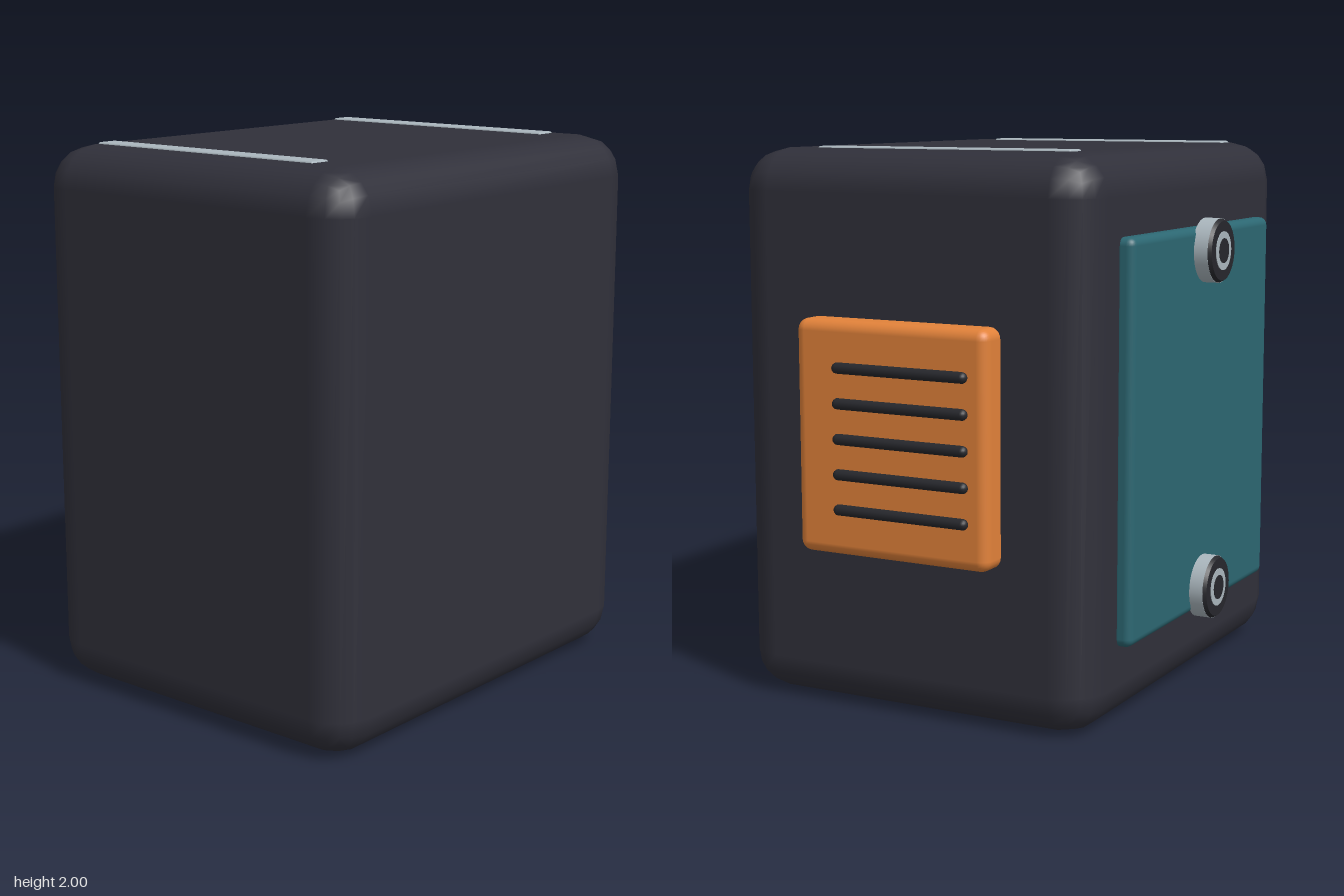
import * as THREE from 'three';
import { RoundedBoxGeometry } from 'three/addons/geometries/RoundedBoxGeometry.js';

const mat = (name, color) => {
  const m = new THREE.MeshStandardMaterial({ color });
  m.name = name;
  return m;
};

export function createModel() {
  const charcoal = mat('charcoal', 0x30303a);
  const black = mat('black', 0x26272c);
  const teal = mat('teal', 0x2c6772);
  const orange = mat('orange', 0xe2823a);
  const silver = mat('silver', 0xaab6bd);
  const group = new THREE.Group();

  const add = (name, geometry, material, x, y, z, parent = group) => {
    const mesh = new THREE.Mesh(geometry, material);
    mesh.name = name;
    mesh.position.set(x, y, z);
    parent.add(mesh);
    return mesh;
  };

  // Rounded box given by its lower and upper corners
  const block = (name, material, a, b, radius, segments) => add(
    name,
    new RoundedBoxGeometry(b[0] - a[0], b[1] - a[1], b[2] - a[2], segments, radius),
    material,
    (a[0] + b[0]) / 2, (a[1] + b[1]) / 2, (a[2] + b[2]) / 2
  );

  // Main case
  block('case', charcoal, [-0.655, 0, -0.8], [0.765, 1.994, 0.917], 0.15, 2);

  // Side door
  block('sidePanel', teal, [-0.708, 0.29, -0.565], [-0.63, 1.71, 0.68], 0.03, 3);

  // Back vent housing and its slats
  block('ventHousing', orange, [-0.328, 0.583, -0.898], [0.438, 1.413, -0.76], 0.04, 3);
  for (let i = 0; i < 5; i++) {
    const slat = add('ventSlat', new THREE.CapsuleGeometry(0.02, 0.495, 6, 12), black,
      0.01, 0.75 + i * 0.125, -0.904);
    slat.rotation.z = Math.PI / 2;
  }

  // Top rails, almost flush with the case
  for (const z of [-0.597, 0.709]) {
    block('topRail', silver, [-0.508, 1.96, z - 0.042], [0.502, 2, z + 0.042], 0.008, 2);
  }

  // Round latches on the side door, built along y and turned to face -x
  for (const y of [0.378, 1.625]) {
    const latch = new THREE.Group();
    latch.name = 'latch';
    latch.position.set(-0.7, y, 0.06);
    latch.rotation.z = Math.PI / 2;
    group.add(latch);
    add('latchBase', new THREE.CylinderGeometry(0.117, 0.117, 0.06, 32), silver, 0, 0.03, 0, latch);
    add('latchRim', new THREE.CylinderGeometry(0.108, 0.116, 0.013, 32), black, 0, 0.0665, 0, latch);
    add('latchRing', new THREE.CylinderGeometry(0.07, 0.07, 0.004, 32), silver, 0, 0.0735, 0, latch);
    add('latchHub', new THREE.CylinderGeometry(0.045, 0.045, 0.004, 24), black, 0, 0.0755, 0, latch);
  }

  return group;
}
